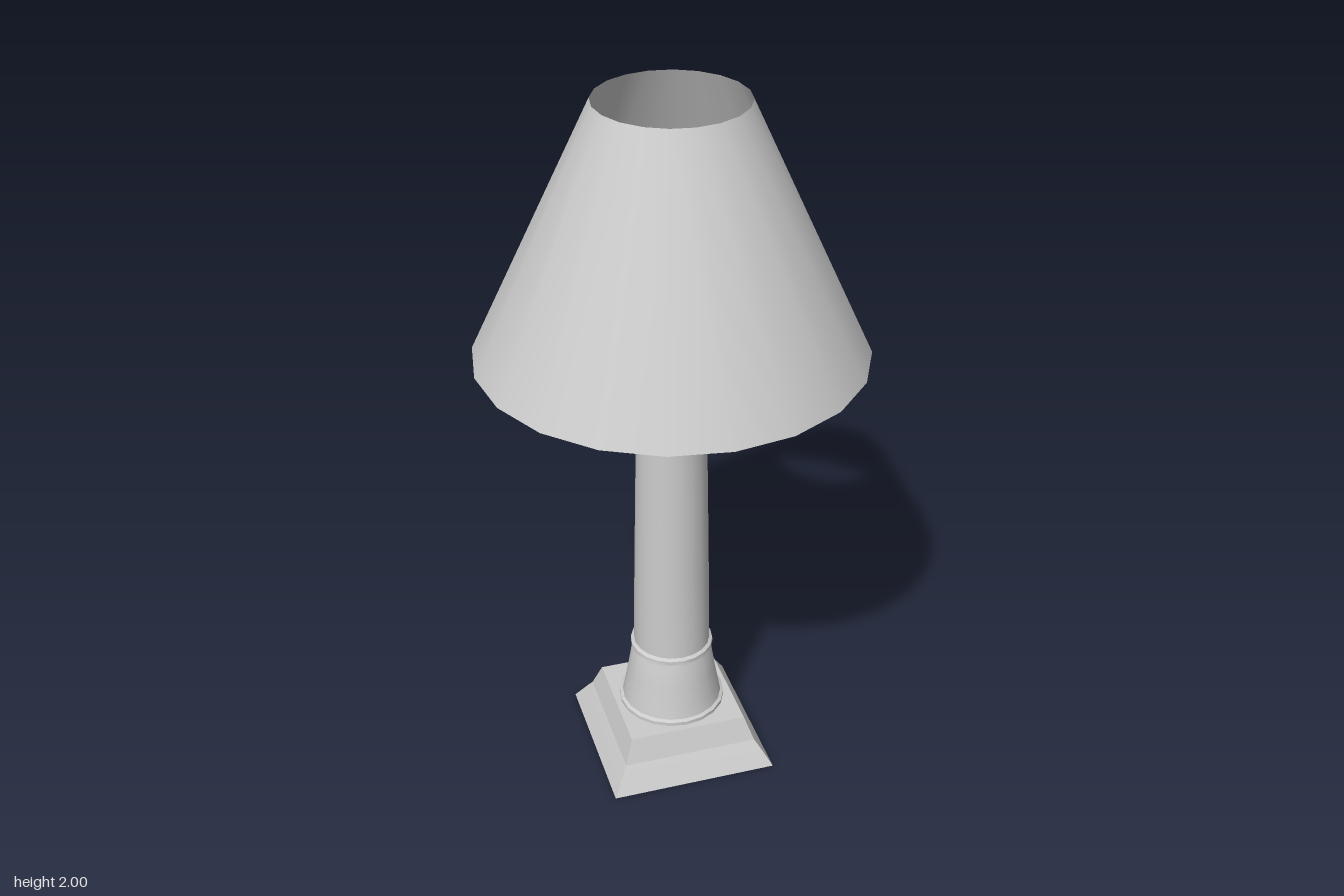
import * as THREE from 'three';
import { toCreasedNormals } from 'three/addons/utils/BufferGeometryUtils.js';

const SIDES = 20;

function lathe(profile, sides) {
  return new THREE.LatheGeometry(profile.map(([r, y]) => new THREE.Vector2(r, y)), sides);
}

export function createModel() {
  const model = new THREE.Group();
  const material = new THREE.MeshStandardMaterial({ color: 0xcccccc });
  const thin = new THREE.MeshStandardMaterial({ color: 0xcccccc, side: THREE.DoubleSide });

  function add(name, geometry, mat = material) {
    const mesh = new THREE.Mesh(geometry, mat);
    mesh.name = name;
    model.add(mesh);
  }

  // Square plinth: half-widths and heights, turned with four sides
  const plinth = [[0, 0], [0.24, 0], [0.205, 0.06], [0.195, 0.075], [0.17, 0.147], [0, 0.147]];
  const plinthGeometry = lathe(plinth.map(([w, y]) => [w * Math.SQRT2, y]), 4);
  plinthGeometry.rotateY(Math.PI / 4);
  add('plinth', toCreasedNormals(plinthGeometry, 0.15));

  // Turned column: foot ring, flared foot, lower ring, tapered shaft, neck ring, capital
  const column = [
    [0, 0.147], [0.154, 0.147], [0.154, 0.158], [0.145, 0.163],
    [0.138, 0.2], [0.127, 0.26], [0.116, 0.328],
    [0.112, 0.34], [0.119, 0.343], [0.119, 0.356], [0.11, 0.362],
    [0.106, 0.6], [0.1, 0.9], [0.092, 1.222],
    [0.104, 1.227], [0.104, 1.242], [0.094, 1.247],
    [0.094, 1.28], [0.104, 1.295], [0.104, 1.308], [0.094, 1.315], [0, 1.315],
  ];
  add('column', toCreasedNormals(lathe(column, SIDES), 0.6));

  // Open conical shade
  add('shade', lathe([[0.525, 1.31], [0.2, 2]], SIDES), thin);

  return model;
}
